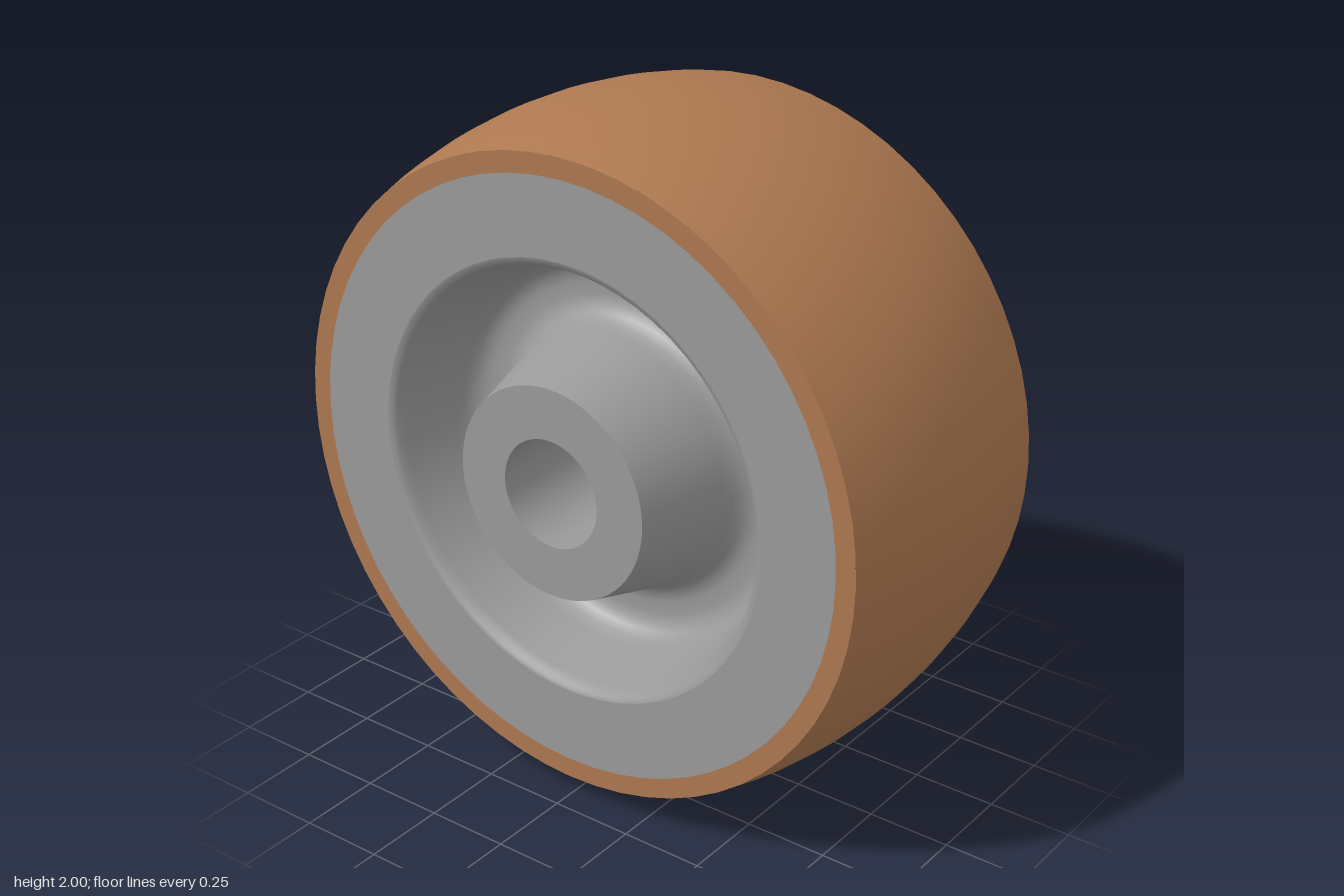
import * as THREE from 'three';

const SEGMENTS = 64;

export function createModel() {
  const tyreBrown = new THREE.MeshStandardMaterial({ color: 0xad7850 });
  const hubGrey = new THREE.MeshStandardMaterial({ color: 0x999999 });

  const wheel = new THREE.Group();
  wheel.name = 'wheel';
  wheel.position.y = 1;

  // Revolves a list of [radius, z] points around the axle (z axis)
  function revolve(parent, name, points, material) {
    const profile = points.map(([r, z]) => new THREE.Vector2(r, z));
    const geometry = new THREE.LatheGeometry(profile, SEGMENTS).rotateX(Math.PI / 2);
    const mesh = new THREE.Mesh(geometry, material);
    mesh.name = name;
    parent.add(mesh);
  }

  // Crowned tread: a shallow arc across the width
  const tread = [];
  const arcRadius = 1.64;
  for (let i = 0; i <= 12; i++) {
    const z = -0.438 + (0.876 * i) / 12;
    tread.push([1 - arcRadius + Math.sqrt(arcRadius ** 2 - z * z), z]);
  }
  revolve(wheel, 'tread', tread, tyreBrown);

  // Bore through the hub
  revolve(wheel, 'axleBore', [[0.16, 0.5], [0.16, -0.5]], hubGrey);

  // Dished recess: rounded rim, sloped wall, filleted floor, conical hub
  const recess = [
    [0.65, 0.438], [0.638, 0.434], [0.628, 0.424], [0.62, 0.4],
    [0.578, 0.24], [0.566, 0.205], [0.55, 0.18], [0.525, 0.165], [0.5, 0.16],
    [0.46, 0.16], [0.435, 0.165], [0.412, 0.18], [0.395, 0.205], [0.385, 0.235],
    [0.313, 0.5],
  ];

  // Both faces of the wheel are alike
  for (const [name, turn] of [['frontFace', 0], ['backFace', Math.PI]]) {
    const face = new THREE.Group();
    face.name = name;
    face.rotation.y = turn;
    revolve(face, 'tyreEdge', [[0.9404, 0.438], [0.88, 0.438]], tyreBrown);
    revolve(face, 'rimFace', [[0.88, 0.438], [0.65, 0.438]], hubGrey);
    revolve(face, 'recess', recess, hubGrey);
    revolve(face, 'hubFace', [[0.313, 0.5], [0.16, 0.5]], hubGrey);
    wheel.add(face);
  }

  const model = new THREE.Group();
  model.name = 'casterWheel';
  model.add(wheel);
  return model;
}
